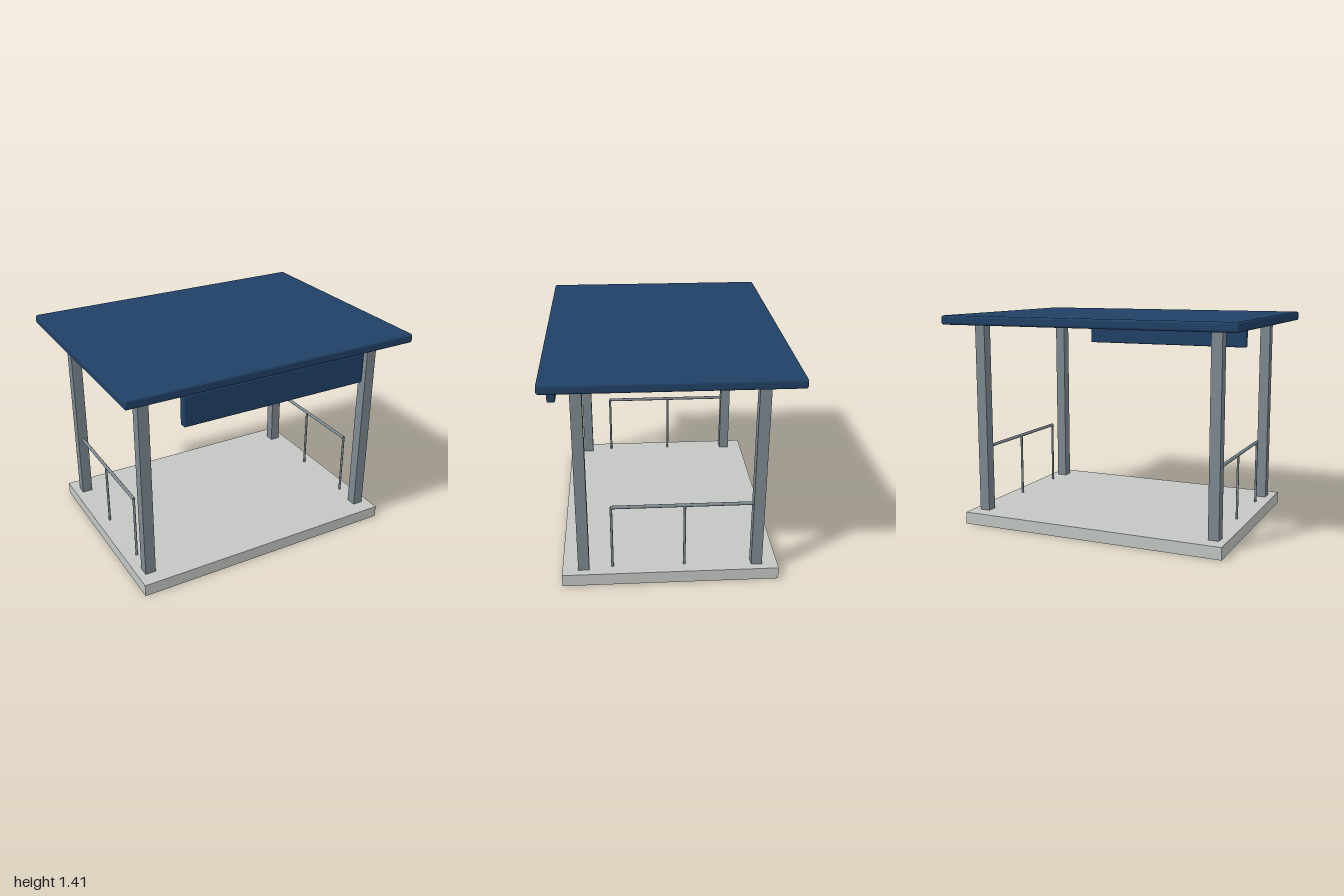
import * as THREE from 'three';
import { RoundedBoxGeometry } from 'three/addons/geometries/RoundedBoxGeometry.js';

export function createModel() {
  const group = new THREE.Group();
  group.name = 'shelter';

  const material = (name, color) => {
    const m = new THREE.MeshStandardMaterial({ color });
    m.name = name;
    return m;
  };
  const concrete = material('pale concrete', 0xc3c7c3);
  const steel = material('grey steel', 0x7d8990);
  const navy = material('navy blue', 0x214166);

  const add = (name, geometry, mat, x, y, z, parent = group) => {
    const mesh = new THREE.Mesh(geometry, mat);
    mesh.name = name;
    mesh.position.set(x, y, z);
    parent.add(mesh);
    return mesh;
  };

  // Floor slab, flat roof and hanging front sign board
  add('floorSlab', new THREE.BoxGeometry(1.81, 0.08, 1.37), concrete, 0, 0.04, 0);
  add('roof', new RoundedBoxGeometry(2, 0.06, 1.52, 3, 0.015), navy, 0, 1.38, 0);
  add('signBoard', new RoundedBoxGeometry(1.27, 0.2, 0.052, 3, 0.01), navy, 0, 1.243, 0.71);

  // Four square corner posts
  const postGeometry = new THREE.BoxGeometry(0.07, 1.28, 0.07);
  for (const x of [-0.82, 0.82]) {
    for (const z of [-0.55, 0.55]) add('cornerPost', postGeometry, steel, x, 0.715, z);
  }

  // A handrail on each side, running forward from the back post
  const uprightGeometry = new THREE.CylinderGeometry(0.008, 0.008, 0.435, 12);
  const railGeometry = new THREE.CylinderGeometry(0.011, 0.011, 0.9, 12).rotateX(Math.PI / 2);
  for (const side of [-1, 1]) {
    const handrail = new THREE.Group();
    handrail.name = side > 0 ? 'leftHandrail' : 'rightHandrail';
    handrail.position.x = side * 0.82;
    add('topRail', railGeometry, steel, 0, 0.513, -0.08, handrail);
    for (const z of [0.368, -0.09]) {
      add('railUpright', uprightGeometry, steel, 0, 0.2955, z, handrail);
    }
    group.add(handrail);
  }

  return group;
}
